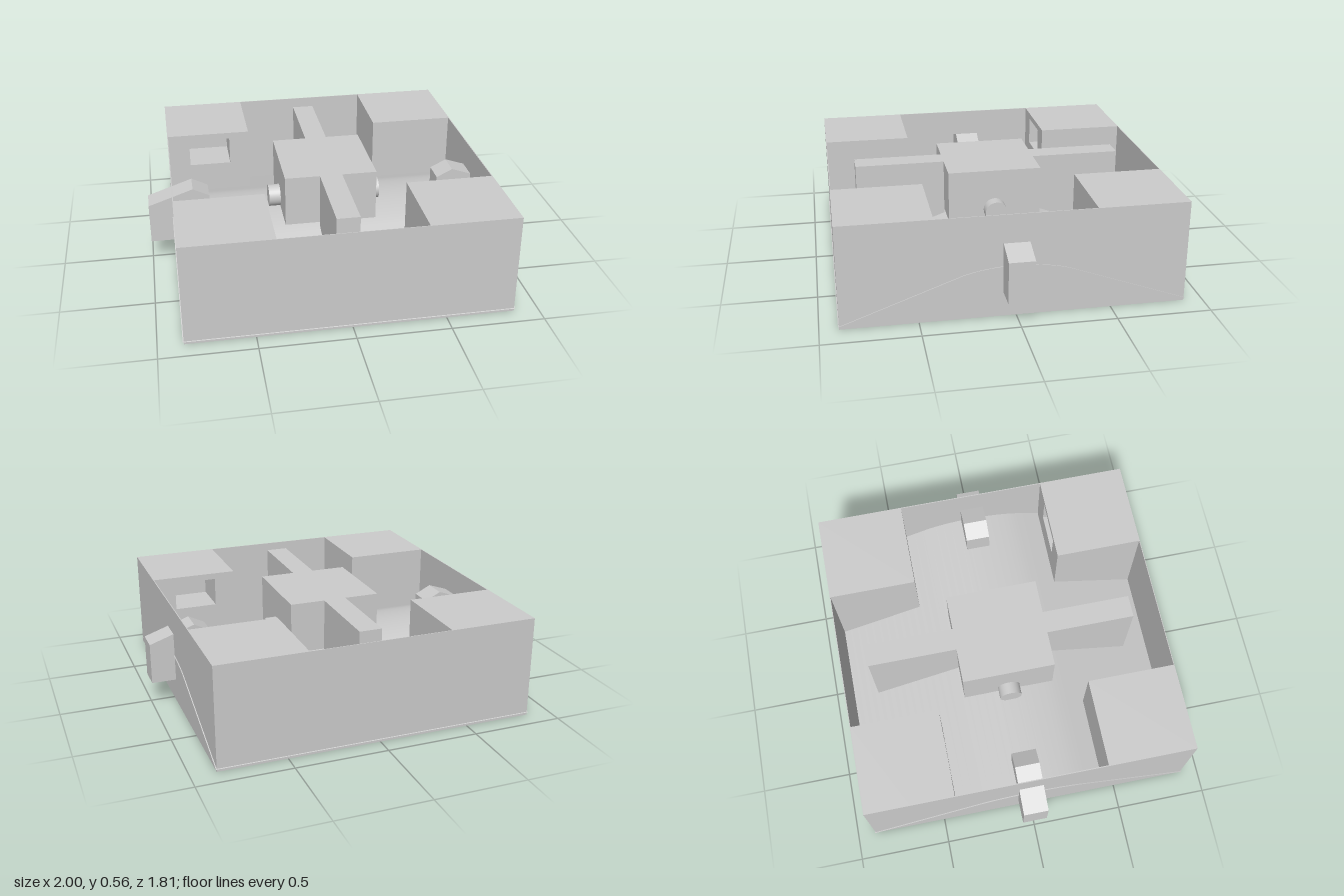
import * as THREE from 'three';

const grey = new THREE.MeshStandardMaterial({ color: 0xcccccc, side: THREE.DoubleSide });
grey.name = 'plain grey';

const TOP = 0.56;

function rectangle(Type, x0, y0, x1, y1) {
  return new Type([[x0, y0], [x1, y0], [x1, y1], [x0, y1]].map(([x, y]) => new THREE.Vector2(x, y)));
}

function extrude(shape, depth) {
  return new THREE.ExtrudeGeometry(shape, { depth, bevelEnabled: false });
}

function add(parent, name, geometry) {
  const mesh = new THREE.Mesh(geometry, grey);
  mesh.name = name;
  parent.add(mesh);
  return mesh;
}

// Box given by its lowest and highest corners
function block(parent, name, [x0, y0, z0], [x1, y1, z1]) {
  const mesh = add(parent, name, new THREE.BoxGeometry(x1 - x0, y1 - y0, z1 - z0));
  mesh.position.set((x0 + x1) / 2, (y0 + y1) / 2, (z0 + z1) / 2);
  return mesh;
}

// Height of the ramped floor: straight slopes with a rounded crest
function floorHeight(z) {
  const d = Math.abs(z);
  if (d > 0.26) return 0.015 + (0.905 - d) * (0.235 / 0.645);
  return 0.282 - 0.032 * (d / 0.26) ** 2;
}

function floorGeometry() {
  const geometry = new THREE.PlaneGeometry(1.744, 1.81, 1, 40).rotateX(-Math.PI / 2);
  const p = geometry.attributes.position;
  for (let i = 0; i < p.count; i++) p.setY(i, floorHeight(p.getZ(i)));
  geometry.computeVertexNormals();
  return geometry;
}

// One half of the inner parts; the other half is the same turned by 180 degrees
function createHalf() {
  const half = new THREE.Group();

  // Corner block with a window recess in its inner face
  block(half, 'recessBlockBack', [-0.862, 0, -0.896], [-0.385, TOP, -0.655]);
  const face = rectangle(THREE.Shape, -0.862, 0, -0.385, TOP);
  face.holes.push(rectangle(THREE.Path, -0.74, 0.365, -0.5, 0.525));
  add(half, 'recessBlockFront', extrude(face, 0.24)).position.z = -0.655;

  // Solid corner block
  block(half, 'solidBlock', [0.385, 0, -0.896], [0.862, TOP, -0.415]);

  // Arm of the central cross
  block(half, 'crossArm', [-0.062, 0.003, -0.75], [0.062, TOP, -0.257]);

  // Side tab passing through the wall, with a pitched top
  const tab = new THREE.Shape([
    [0.66, 0.135], [1, 0.135], [1, 0.36], [0.75, 0.445], [0.66, 0.4],
  ].map(([x, y]) => new THREE.Vector2(x, y)));
  add(half, 'sideTab', extrude(tab, 0.136)).position.z = -0.068;

  // Round pin on the side of the central body
  const pin = add(half, 'pin', new THREE.CylinderGeometry(0.062, 0.062, 0.09, 32).rotateZ(Math.PI / 2));
  pin.position.set(0.275, 0.335, 0);

  return half;
}

export function createModel() {
  const model = new THREE.Group();
  model.name = 'arenaTray';

  // Thin outer walls, open above and below
  const ring = rectangle(THREE.Shape, -0.867, -0.9, 0.867, 0.9);
  ring.holes.push(rectangle(THREE.Path, -0.862, -0.896, 0.862, 0.896));
  add(model, 'walls', extrude(ring, TOP).rotateX(-Math.PI / 2));

  add(model, 'floor', floorGeometry());
  block(model, 'centralBody', [-0.255, 0.275, -0.257], [0.255, TOP, 0.257]);

  for (const [name, turn] of [['backHalf', 0], ['frontHalf', Math.PI]]) {
    const half = createHalf();
    half.name = name;
    half.rotation.y = turn;
    model.add(half);
  }
  return model;
}
